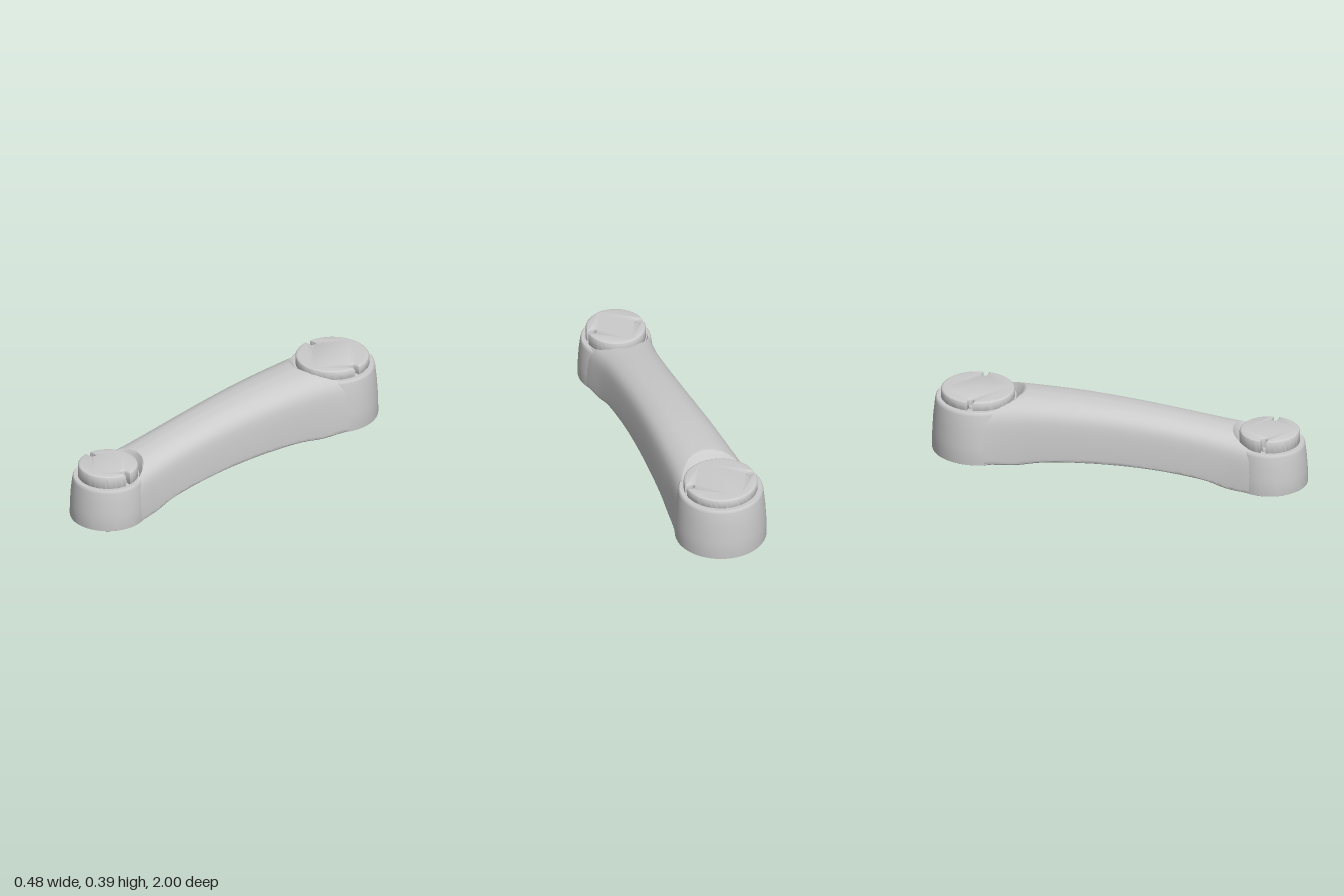
import * as THREE from 'three';
import { toCreasedNormals } from 'three/addons/utils/BufferGeometryUtils.js';

const material = new THREE.MeshStandardMaterial({ color: 0xcccccc });

// One entry per end: centre z, housing radius, base and seat heights,
// cap radius and top, and the scoop (inner radius and slope) in the arm round the cap
const FRONT = { name: 'front', z: 0.8, r: 0.2, base: 0, seat: 0.232, capR: 0.157, capTop: 0.3, scoopR: 0.162, slope: 2.2, depth: 0.075 };
const BACK = { name: 'back', z: -0.76, r: 0.24, base: 0.03, seat: 0.325, capR: 0.193, capTop: 0.373, scoopR: 0.2, slope: 1.25, depth: 0.1 };

function addMesh(parent, name, geometry, x = 0, y = 0, z = 0) {
  const mesh = new THREE.Mesh(geometry, material);
  mesh.name = name;
  mesh.position.set(x, y, z);
  parent.add(mesh);
  return mesh;
}

// Smooth function of z through [z, value] pairs
function smoothCurve(pairs) {
  const curve = new THREE.CubicInterpolant(pairs.map(p => p[0]), pairs.map(p => p[1]), 1);
  return z => curve.evaluate(z)[0];
}

const halfWidth = smoothCurve([[-0.76, 0.237], [-0.68, 0.226], [-0.6, 0.214], [-0.5, 0.203], [-0.4, 0.195],
  [-0.2, 0.182], [0, 0.17], [0.2, 0.162], [0.4, 0.16], [0.5, 0.162], [0.6, 0.169], [0.7, 0.183], [0.8, 0.197]]);
const topLine = smoothCurve([[-0.76, 0.365], [-0.6, 0.383], [-0.5, 0.387], [-0.4, 0.387], [-0.2, 0.383],
  [0, 0.371], [0.2, 0.352], [0.4, 0.328], [0.62, 0.3], [0.8, 0.28]]);
const bottomLine = smoothCurve([[-0.76, 0.032], [-0.55, 0.032], [-0.5, 0.037], [-0.4, 0.056], [-0.3, 0.067],
  [-0.15, 0.074], [0, 0.075], [0.2, 0.068], [0.4, 0.049], [0.5, 0.034], [0.6, 0.007], [0.65, 0.002], [0.8, 0.002]]);

// Arm lofted between the housings: tapered walls, domed top, ends wrapped round each housing
function armGeometry() {
  const half = new THREE.SplineCurve([[0.9, 0], [0.98, 0.02], [1, 0.08], [0.985, 0.35], [0.94, 0.63],
    [0.86, 0.79], [0.7, 0.895], [0.4, 0.975], [0, 1]].map(p => new THREE.Vector2(...p))).getPoints(28);
  const bottom = [0, 0.3, 0.6].map(u => new THREE.Vector2(u, 0));
  const right = [...bottom, ...half];
  const left = right.slice(1, -1).reverse().map(p => new THREE.Vector2(-p.x, p.y));
  const loop = [...right, ...left];
  const rows = 80, n = loop.length, positions = [], index = [];

  // z where an end wraps the housing, for a point at x and relative height v
  const endZ = (e, x, v) => {
    const R = THREE.MathUtils.lerp(e.r * 0.95, e.scoopR, THREE.MathUtils.smoothstep(v, 0.3, 0.9));
    return e.z - Math.sign(e.z) * Math.sqrt(Math.max(0, R * R - x * x));
  };
  for (let i = 0; i <= rows; i++) {
    const s = i / rows;
    const t = THREE.MathUtils.lerp(s, (1 - Math.cos(Math.PI * s)) / 2, 0.8);
    for (const p of loop) {
      let x = p.x * 0.18, z = 0;
      for (let k = 0; k < 12; k++) {
        z = THREE.MathUtils.lerp(endZ(FRONT, x, p.y), endZ(BACK, x, p.y), t);
        x = p.x * halfWidth(z);
      }
      let y = THREE.MathUtils.lerp(bottomLine(z), topLine(z), p.y);
      for (const e of [FRONT, BACK]) {
        const r = Math.hypot(x, z - e.z);
        y = Math.min(y, e.seat - 0.003 + Math.max(0, r - e.scoopR) * e.slope);
      }
      positions.push(x, y, z);
    }
  }
  for (let i = 0; i < rows; i++) {
    for (let j = 0; j < n; j++) {
      const a = i * n + j, b = i * n + (j + 1) % n;
      index.push(a, a + n, b, b, a + n, b + n);
    }
  }
  const geometry = new THREE.BufferGeometry();
  geometry.setAttribute('position', new THREE.Float32BufferAttribute(positions, 3));
  geometry.setIndex(index);
  return toCreasedNormals(geometry, 0.6);
}

// Tapered round housing with a stepped recess underneath
function housingGeometry({ r, base, seat, depth }) {
  const floor = base + depth, h = seat - base;
  const profile = [
    [0, floor + 0.07], [r * 0.46, floor + 0.07], [r * 0.46, floor + 0.045], [r * 0.55, floor + 0.045],
    [r * 0.55, floor], [r * 0.74, floor], [r * 0.74, floor - 0.02], [r * 0.8, floor - 0.02],
    [r * 0.8, floor], [r * 0.9, floor], [r * 0.925, base + 0.004], [r * 0.94, base],
    [r - 0.006, base], [r - 0.001, base + 0.003], [r, base + 0.01], [r * 0.99, base + h * 0.35],
    [r * 0.968, base + h * 0.65], [r * 0.93, seat - 0.018], [r * 0.918, seat - 0.006],
    [r * 0.895, seat], [0, seat],
  ].map(p => new THREE.Vector2(...p));
  return toCreasedNormals(new THREE.LatheGeometry(profile, 56), 0.6);
}

// Round lid with a rounded edge and a screw notch on each side
function capGeometry({ capR, capTop, seat }) {
  const w = 0.014, inner = capR - 0.032, bevel = 0.013;
  const a = Math.asin(w / capR);
  const shape = new THREE.Shape();
  shape.absarc(0, 0, capR, a, Math.PI - a, false);
  shape.absarc(-inner, 0, w, Math.PI / 2, -Math.PI / 2, true);
  shape.absarc(0, 0, capR, Math.PI + a, 2 * Math.PI - a, false);
  shape.absarc(inner, 0, w, -Math.PI / 2, -Math.PI * 1.5, true);
  const geometry = new THREE.ExtrudeGeometry(shape, {
    depth: capTop - seat - bevel, curveSegments: 28, bevelEnabled: true,
    bevelThickness: bevel, bevelSize: bevel, bevelOffset: -bevel, bevelSegments: 4,
  });
  geometry.rotateX(-Math.PI / 2);
  return toCreasedNormals(geometry, 0.6);
}

// Socket-head screw
function screwGeometry() {
  const profile = [[0.012, 0], [0.012, 0.016], [0.01, 0.019], [0.006, 0.019], [0.006, 0.01], [0, 0.01]]
    .map(p => new THREE.Vector2(...p));
  return toCreasedNormals(new THREE.LatheGeometry(profile, 16), 0.6);
}

export function createModel() {
  const model = new THREE.Group();
  model.name = 'armLink';
  addMesh(model, 'arm', armGeometry());
  for (const e of [FRONT, BACK]) {
    const joint = new THREE.Group();
    joint.name = e.name + 'Joint';
    joint.position.z = e.z;
    model.add(joint);
    addMesh(joint, e.name + 'Housing', housingGeometry(e));
    addMesh(joint, e.name + 'Cap', capGeometry(e), 0, e.seat, 0);
    for (const side of [-1, 1]) {
      addMesh(joint, e.name + (side > 0 ? 'LeftScrew' : 'RightScrew'), screwGeometry(), side * (e.capR - 0.028), e.seat, 0);
    }
  }
  return model;
}
